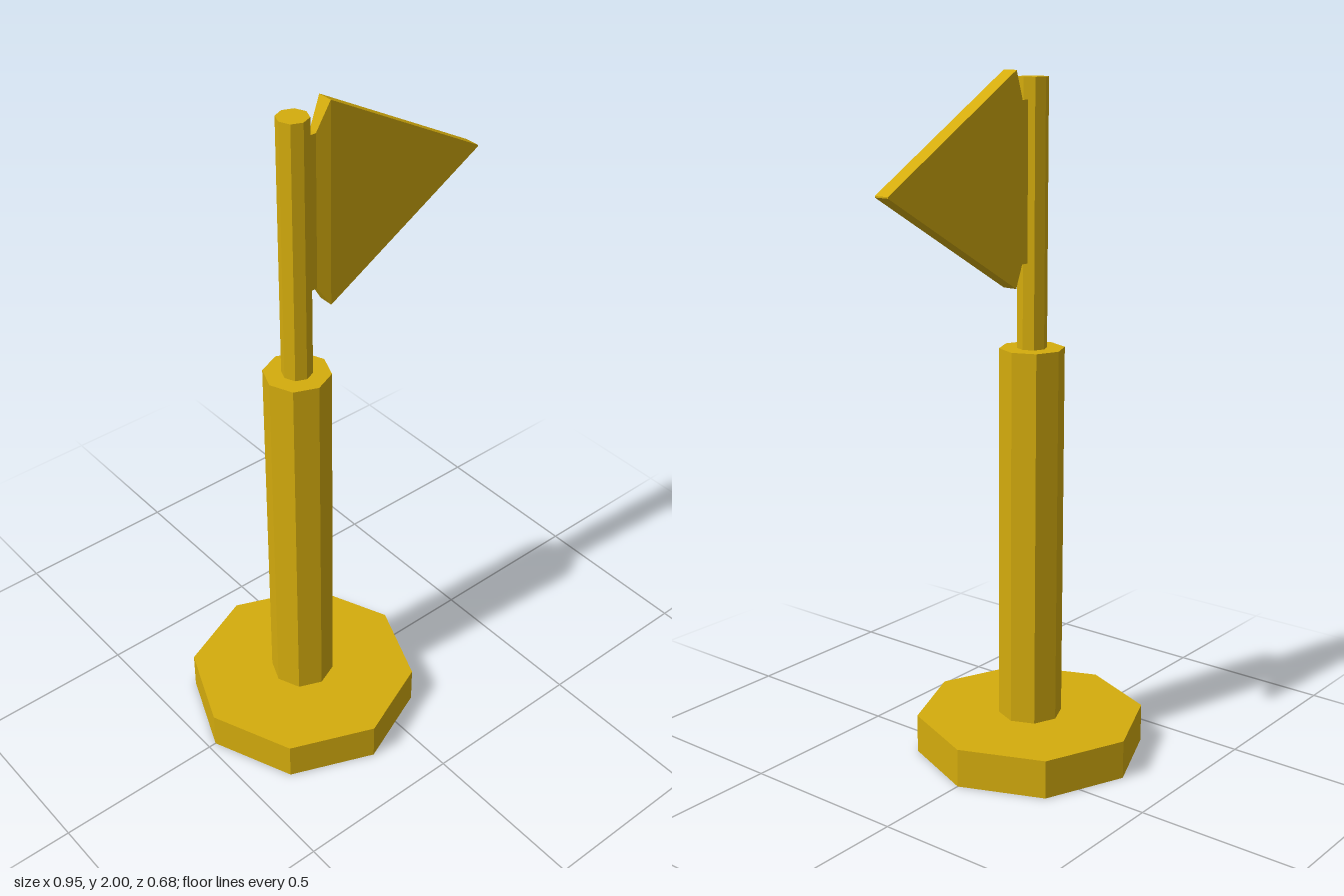
import * as THREE from 'three';

const gold = new THREE.MeshStandardMaterial({ color: 0xd4ac0d });
gold.name = 'gold';
gold.flatShading = true;

const AXIS_X = -0.137;

// Eight-sided upright drum between two heights
function drum(name, radius, bottom, top) {
  const mesh = new THREE.Mesh(new THREE.CylinderGeometry(radius, radius, top - bottom, 8), gold);
  mesh.name = name;
  mesh.position.set(AXIS_X, (bottom + top) / 2, 0);
  return mesh;
}

// Loft of rectangles along x; each section is [x, yLow, yHigh, halfDepth]
function loft(sections) {
  const points = [];
  const index = [];
  for (const [x, low, high, d] of sections) {
    points.push(x, low, d, x, high, d, x, high, -d, x, low, -d);
  }
  for (let s = 0; s < sections.length - 1; s++) {
    for (let i = 0; i < 4; i++) {
      const a = s * 4 + i, b = s * 4 + (i + 1) % 4;
      index.push(a, a + 4, b, b, a + 4, b + 4);
    }
  }
  const e = (sections.length - 1) * 4;
  index.push(0, 1, 2, 0, 2, 3, e, e + 2, e + 1, e, e + 3, e + 2);
  const indexed = new THREE.BufferGeometry();
  indexed.setAttribute('position', new THREE.Float32BufferAttribute(points, 3));
  indexed.setIndex(index);
  const geometry = indexed.toNonIndexed();
  geometry.computeVertexNormals();
  return geometry;
}

export function createModel() {
  const group = new THREE.Group();
  group.name = 'flagMarker';

  // Stepped stand
  group.add(
    drum('base', 0.34, 0, 0.115),
    drum('post', 0.094, 0.115, 1.23),
    drum('pole', 0.043, 1.23, 1.98),
  );

  // Pennant: narrow neck at the pole, flaring out, then tapering to an edge
  const flag = new THREE.Mesh(loft([
    [-0.11, 1.475, 1.92, 0.012],
    [-0.075, 1.475, 1.92, 0.012],
    [-0.036, 1.413, 2.0, 0.022],
    [0.475, 1.705, 1.709, 0.022],
  ]), gold);
  flag.name = 'flag';
  group.add(flag);

  return group;
}
